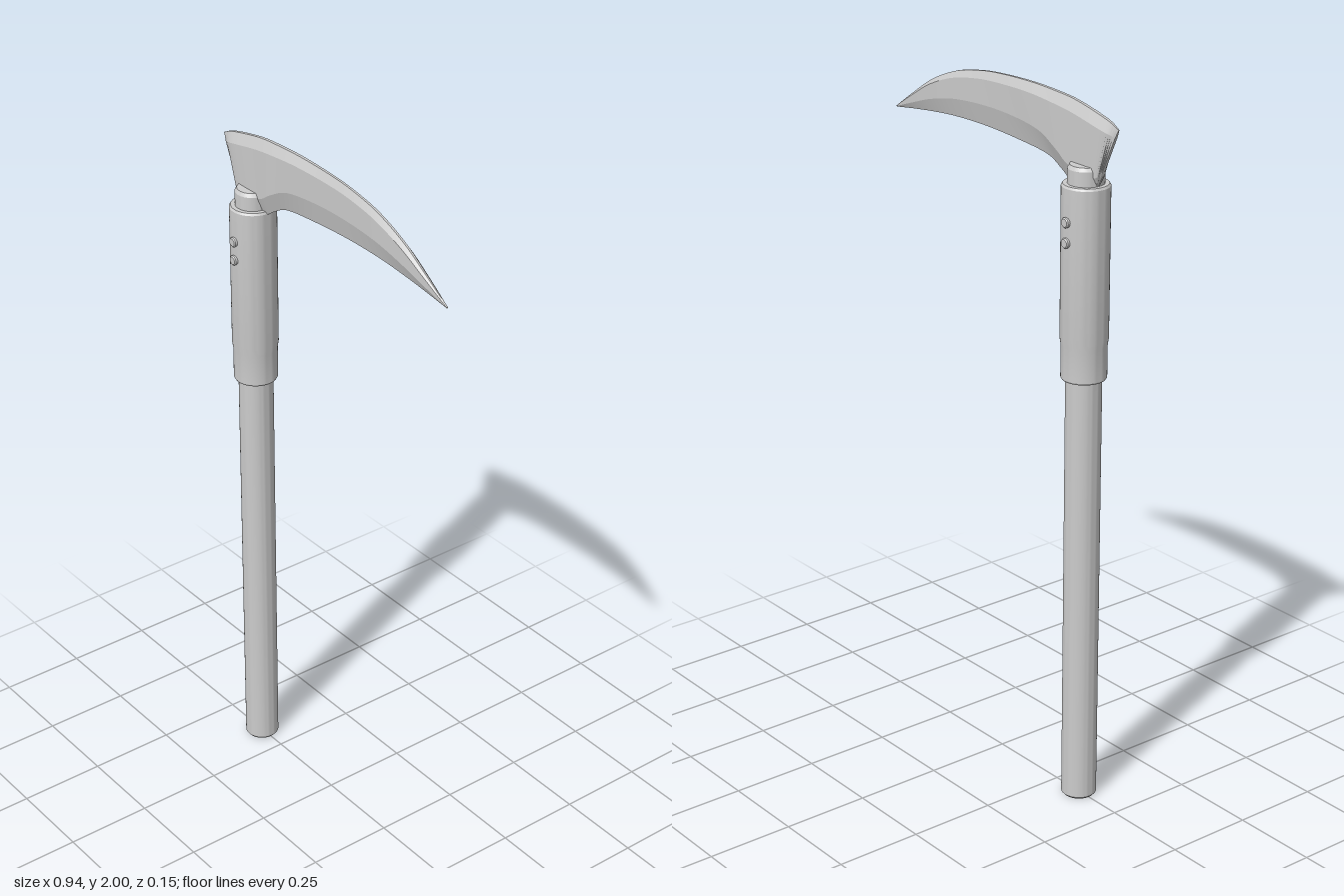
import * as THREE from 'three';
import { toCreasedNormals } from 'three/addons/utils/BufferGeometryUtils.js';

const mat = new THREE.MeshStandardMaterial({ color: 0xcccccc });
const AXIS_X = -0.345;

function add(parent, name, geometry, crease = 0.5) {
  const mesh = new THREE.Mesh(toCreasedNormals(geometry, crease), mat);
  mesh.name = name;
  parent.add(mesh);
  return mesh;
}

function turned(points, segments = 48) {
  return new THREE.LatheGeometry(points.map(([r, y]) => new THREE.Vector2(r, y)), segments);
}

// Blade: bevelled cross-sections swept between a spine curve and an edge curve
function bladeGeometry() {
  // spine x, spine y, edge x, edge y, half thickness, height of lower bevel (fraction)
  const stations = [
    [-0.47, 1.945, -0.395, 1.785, 0.004, 0.2],
    [-0.425, 1.964, -0.38, 1.765, 0.017, 0.2],
    [-0.31, 1.989, -0.29, 1.77, 0.018, 0.22],
    [-0.22, 1.997, -0.25, 1.792, 0.018, 0.28],
    [-0.12, 2.0, -0.19, 1.82, 0.017, 0.36],
    [0.0, 1.996, -0.07, 1.833, 0.014, 0.4],
    [0.09, 1.987, 0.07, 1.84, 0.013, 0.4],
    [0.195, 1.965, 0.2, 1.838, 0.013, 0.4],
    [0.3, 1.922, 0.3, 1.83, 0.012, 0.4],
    [0.39, 1.866, 0.385, 1.82, 0.008, 0.4],
    [0.47, 1.812, 0.47, 1.808, 0.002, 0.4],
  ];
  const curve = (f) => new THREE.CatmullRomCurve3(
    stations.map((s) => new THREE.Vector3(...f(s))), false, 'catmullrom', 0.5);
  const spine = curve((s) => [s[0], s[1], s[4]]);
  const edge = curve((s) => [s[2], s[3], s[5]]);
  const STEPS = 60, RING = 7, pos = [], index = [];

  for (let i = 0; i <= STEPS; i++) {
    const s = spine.getPoint(i / STEPS), e = edge.getPoint(i / STEPS);
    const w = s.z, low = e.z;
    // [fraction from edge to spine, z]
    const ring = [[0, 0], [low, w], [0.86, w], [1, w * 0.25],
      [1, -w * 0.25], [0.86, -w], [low, -w]];
    for (const [f, z] of ring) pos.push(e.x + (s.x - e.x) * f, e.y + (s.y - e.y) * f, z);
  }
  for (let i = 0; i < STEPS; i++) {
    for (let j = 0; j < RING; j++) {
      const k = (j + 1) % RING;
      const a = i * RING + j, b = i * RING + k;
      index.push(a, a + RING, b, b, a + RING, b + RING);
    }
  }
  // end caps
  const last = STEPS * RING;
  for (let j = 1; j < RING - 1; j++) {
    index.push(0, j, j + 1, last, last + j + 1, last + j);
  }
  const g = new THREE.BufferGeometry();
  g.setAttribute('position', new THREE.Float32BufferAttribute(pos, 3));
  g.setIndex(index);
  return g;
}

export function createModel() {
  const model = new THREE.Group();
  model.name = 'sickle';

  const shaft = new THREE.Group();
  shaft.name = 'shaft';
  shaft.position.x = AXIS_X;
  model.add(shaft);

  // Long round handle with chamfered ends
  add(shaft, 'handle', turned([
    [0, 0], [0.044, 0], [0.049, 0.006], [0.049, 1.82], [0.043, 1.83], [0, 1.83],
  ]));

  // Sleeve clamping the blade to the handle
  add(shaft, 'sleeve', turned([
    [0.047, 1.245], [0.059, 1.245], [0.062, 1.25], [0.062, 1.34],
    [0.065, 1.36], [0.065, 1.774], [0.061, 1.78], [0.047, 1.78],
  ]));

  // Two rivets on the front and two on the back
  for (const side of [1, -1]) {
    for (const y of [1.685, 1.63]) {
      const rivet = add(shaft, 'rivet', turned([
        [0, 0], [0.014, 0], [0.014, 0.02], [0.011, 0.023], [0, 0.023],
      ], 24));
      rivet.position.set(0, y, side * 0.05);
      rivet.rotation.x = side * Math.PI / 2;
    }
  }

  add(model, 'blade', bladeGeometry(), 0.2);
  return model;
}
